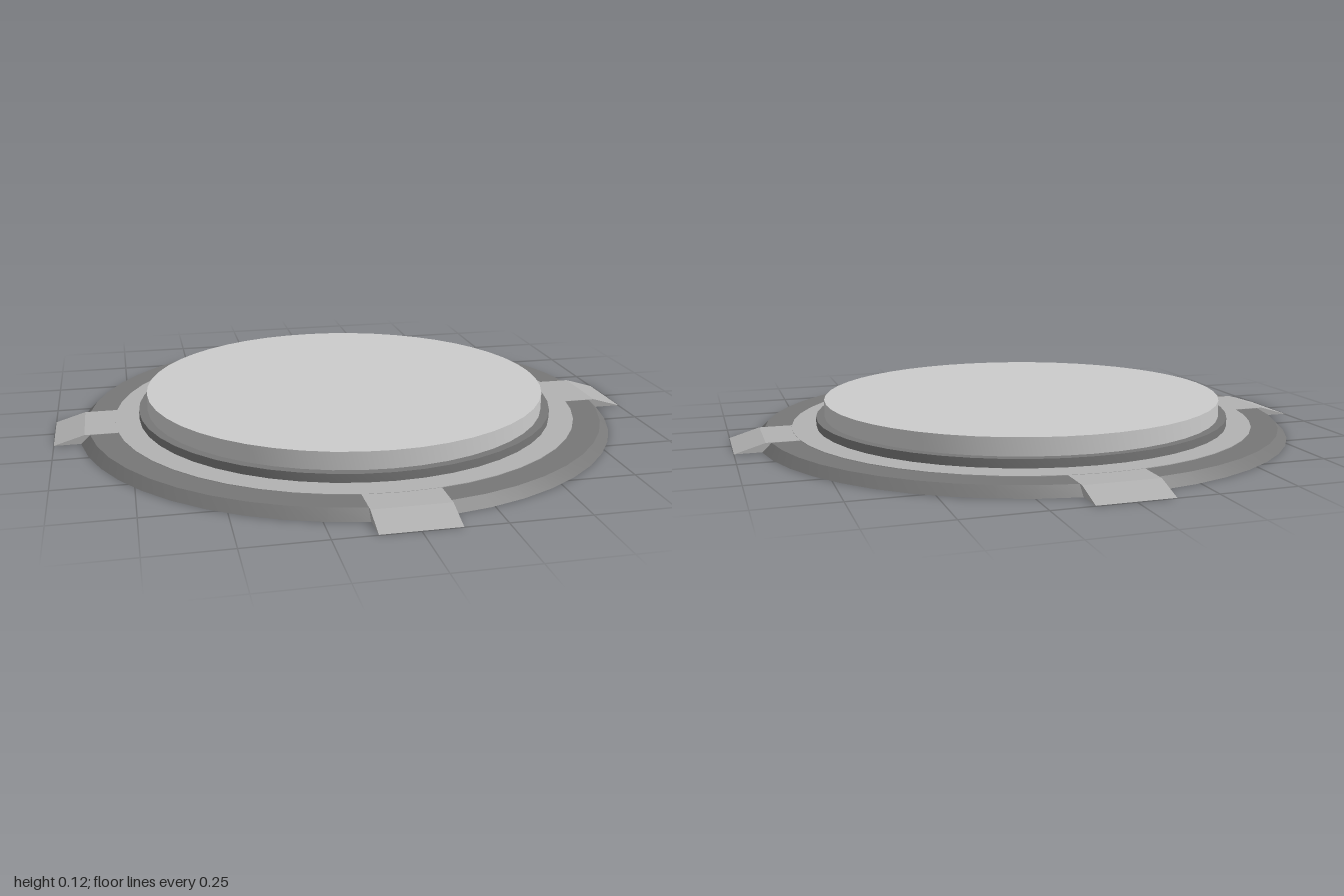
import * as THREE from 'three';
import { toCreasedNormals } from 'three/addons/utils/BufferGeometryUtils.js';

const SEGMENTS = 48;
const light = new THREE.MeshStandardMaterial({ color: 0xcccccc });
const mid = new THREE.MeshStandardMaterial({ color: 0xb1b1b1 });
const dark = new THREE.MeshStandardMaterial({ color: 0x777777 });
const black = new THREE.MeshStandardMaterial({ color: 0x0a0a0a });

function add(parent, name, geometry, material) {
  const mesh = new THREE.Mesh(geometry, material);
  mesh.name = name;
  parent.add(mesh);
  return mesh;
}

// Round part from [radius, height] pairs, listed bottom to top
function turned(points) {
  const profile = points.map(([r, y]) => new THREE.Vector2(r, y));
  return toCreasedNormals(new THREE.LatheGeometry(profile, SEGMENTS), 0.5);
}

export function createModel() {
  const model = new THREE.Group();
  model.name = 'roundPlate';

  // Bevelled base ring with a black underside
  add(model, 'base', turned([[0.92, 0], [0.89, 0.03], [0.68, 0.03]]), dark);
  const underside = new THREE.RingGeometry(0.688, 0.92, SEGMENTS, 1);
  underside.rotateX(Math.PI / 2);
  add(model, 'underside', underside, black);

  // Flat trim ring and the raised collar around the centre disc
  add(model, 'trimRing', turned([[0.8, 0.029], [0.8, 0.032], [0.7, 0.032]]), mid);
  add(model, 'collar', turned([[0.717, 0.03], [0.717, 0.06], [0.68, 0.06]]), dark);

  // Centre disc, running through the whole plate
  add(model, 'centreDisc', turned([[0, 0], [0.688, 0], [0.688, 0.118], [0, 0.118]]), light);

  // Four tabs that slope down past the rim
  const side = new THREE.Shape();
  side.moveTo(0.78, 0.02);
  side.lineTo(0.905, 0.001);
  side.lineTo(1, 0.001);
  side.lineTo(0.9, 0.031);
  side.lineTo(0.78, 0.031);
  const tabGeometry = new THREE.ExtrudeGeometry(side, { depth: 0.24, bevelEnabled: false });
  tabGeometry.translate(0, 0, -0.12);
  ['leftTab', 'backTab', 'rightTab', 'frontTab'].forEach((name, i) => {
    add(model, name, tabGeometry, mid).rotation.y = i * Math.PI / 2;
  });

  return model;
}
